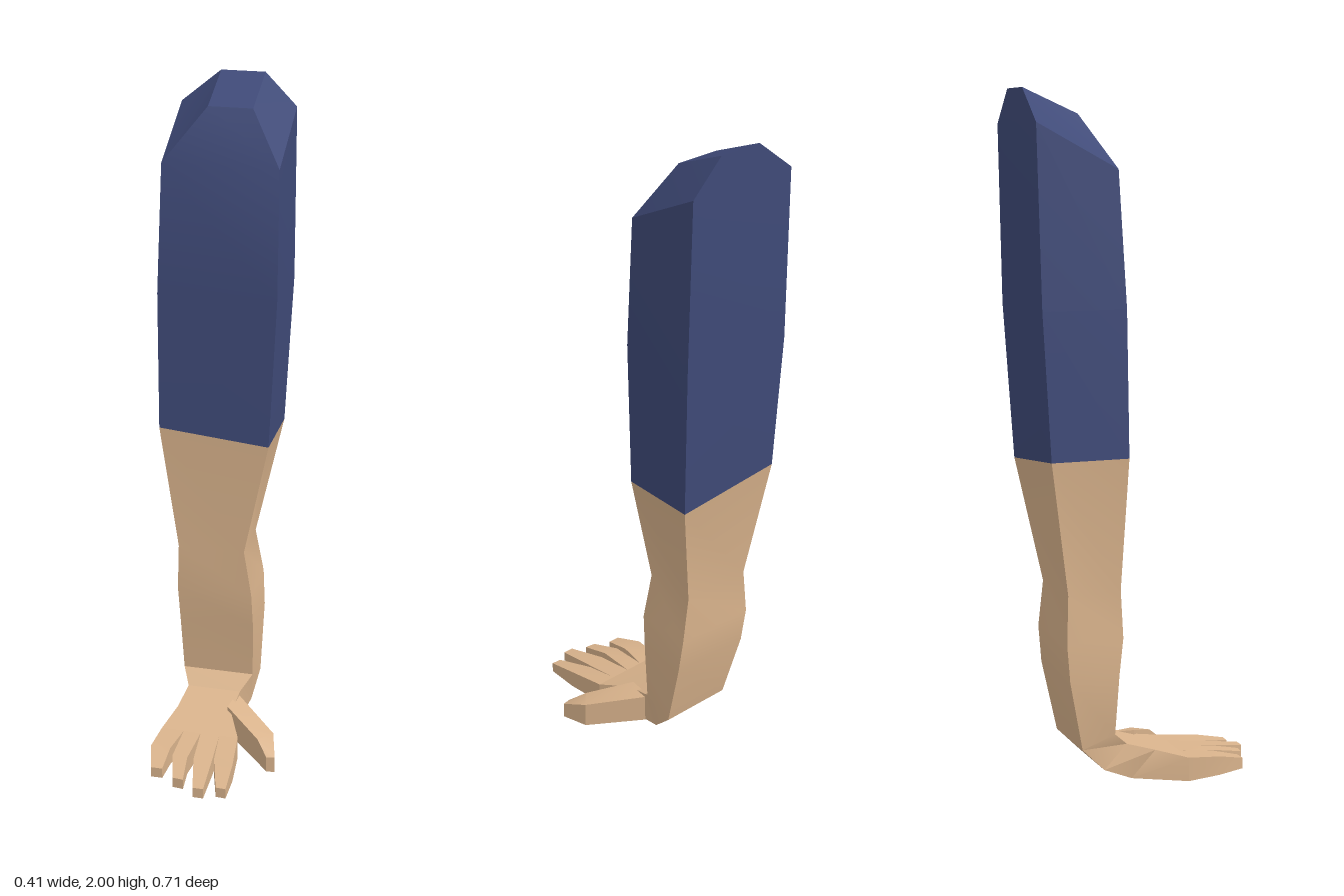
import * as THREE from 'three';
import { toCreasedNormals } from 'three/addons/utils/BufferGeometryUtils.js';

// Skin a row of four-cornered rings; corner order: -x top/front, +x top/front, +x back, -x back
function loft(rings, capStart, capEnd) {
  const pos = [];
  const quad = (a, b, c, d) => pos.push(...a, ...b, ...c, ...a, ...c, ...d);
  for (let i = 0; i < rings.length - 1; i++) {
    const r = rings[i], s = rings[i + 1];
    for (let k = 0; k < 4; k++) {
      const n = (k + 1) % 4;
      quad(r[k], s[k], s[n], r[n]);
    }
  }
  if (capStart) quad(...rings[0]);
  if (capEnd) quad(...rings[rings.length - 1].slice().reverse());
  const g = new THREE.BufferGeometry();
  g.setAttribute('position', new THREE.Float32BufferAttribute(pos, 3));
  return toCreasedNormals(g, 0.42);
}

// Ring from its front edge and back edge, each [x left, x right, y, z]
const ring = (f, b) => [
  [f[0], f[2], f[3]], [f[1], f[2], f[3]],
  [b[1], b[2], b[3]], [b[0], b[2], b[3]],
];

// Ring across a finger: two [x, z] points with a top and a bottom height
const slice = (l, r, top, bottom) => [
  [l[0], top, l[1]], [r[0], top, r[1]], [r[0], bottom, r[1]], [l[0], bottom, l[1]],
];

export function createModel() {
  const model = new THREE.Group();
  model.name = 'arm';
  const skin = new THREE.MeshStandardMaterial({ color: 0xd9b38c });
  skin.name = 'skin';
  const cloth = new THREE.MeshStandardMaterial({ color: 0x3f4a78 });
  cloth.name = 'blueCloth';
  const add = (name, geometry, material) => {
    const mesh = new THREE.Mesh(geometry, material);
    mesh.name = name;
    model.add(mesh);
  };

  // Sloping hem shared by the sleeve and the forearm
  const hem = [
    [-0.205, 0.985, -0.092], [0.126, 0.953, -0.092],
    [0.126, 0.953, -0.32], [-0.205, 0.985, -0.32],
  ];

  // Sleeve with a bevelled shoulder
  add('sleeve', loft([
    ring([-0.08, 0.05, 1.93, -0.195], [-0.08, 0.05, 2, -0.355]),
    ring([-0.197, 0.143, 1.78, -0.12], [-0.197, 0.143, 1.905, -0.355]),
    ring([-0.208, 0.145, 1.4, -0.1], [-0.208, 0.145, 1.4, -0.345]),
    hem,
  ], true, false), cloth);

  // Forearm, wrist and palm in one bent run
  add('forearmAndPalm', loft([
    hem,
    ring([-0.15, 0.053, 0.6, -0.097], [-0.165, 0.053, 0.6, -0.26]),
    ring([-0.152, 0.078, 0.46, -0.09], [-0.174, 0.078, 0.46, -0.267]),
    ring([-0.147, 0.082, 0.35, -0.1], [-0.167, 0.085, 0.35, -0.256]),
    ring([-0.138, 0.08, 0.175, -0.11], [-0.14, 0.083, 0.14, -0.21]),
    ring([-0.114, 0.05, 0.135, -0.065], [-0.13, 0.07, 0.07, -0.14]),
    ring([-0.125, 0.042, 0.11, 0.02], [-0.115, 0.045, 0.03, -0.05]),
    ring([-0.152, 0.085, 0.083, 0.115], [-0.152, 0.085, 0.012, 0.115]),
  ], false, true), skin);

  // Fingers: knuckle, middle and tip as pairs of [x, z], then a height offset
  const fingers = [
    ['littleFinger', [-0.152, 0.115], [-0.083, 0.115], [-0.16, 0.21], [-0.1, 0.21], [-0.138, 0.293], [-0.103, 0.293], 0.012],
    ['ringFinger', [-0.083, 0.115], [-0.03, 0.115], [-0.086, 0.235], [-0.04, 0.24], [-0.063, 0.323], [-0.031, 0.327], 0.006],
    ['middleFinger', [-0.03, 0.115], [0.028, 0.115], [-0.022, 0.235], [0.033, 0.22], [0.005, 0.355], [0.037, 0.355], 0.002],
    ['indexFinger', [0.028, 0.115], [0.085, 0.115], [0.037, 0.22], [0.098, 0.24], [0.07, 0.335], [0.1, 0.337], 0],
  ];
  for (const [name, a, b, c, d, e, f, up] of fingers) {
    add(name, loft([
      slice(a, b, 0.083, 0.012),
      slice(c, d, 0.066 + up, 0.01 + up),
      slice(e, f, 0.045 + up, 0.013 + up),
    ], false, true), skin);
  }

  // Thumb
  add('thumb', loft([
    slice([0.03, 0.015], [0.04, -0.072], 0.125, 0.035),
    slice([0.145, 0.11], [0.184, 0.065], 0.083, 0.003),
    slice([0.181, 0.15], [0.206, 0.146], 0.05, 0),
  ], true, true), skin);

  return model;
}
